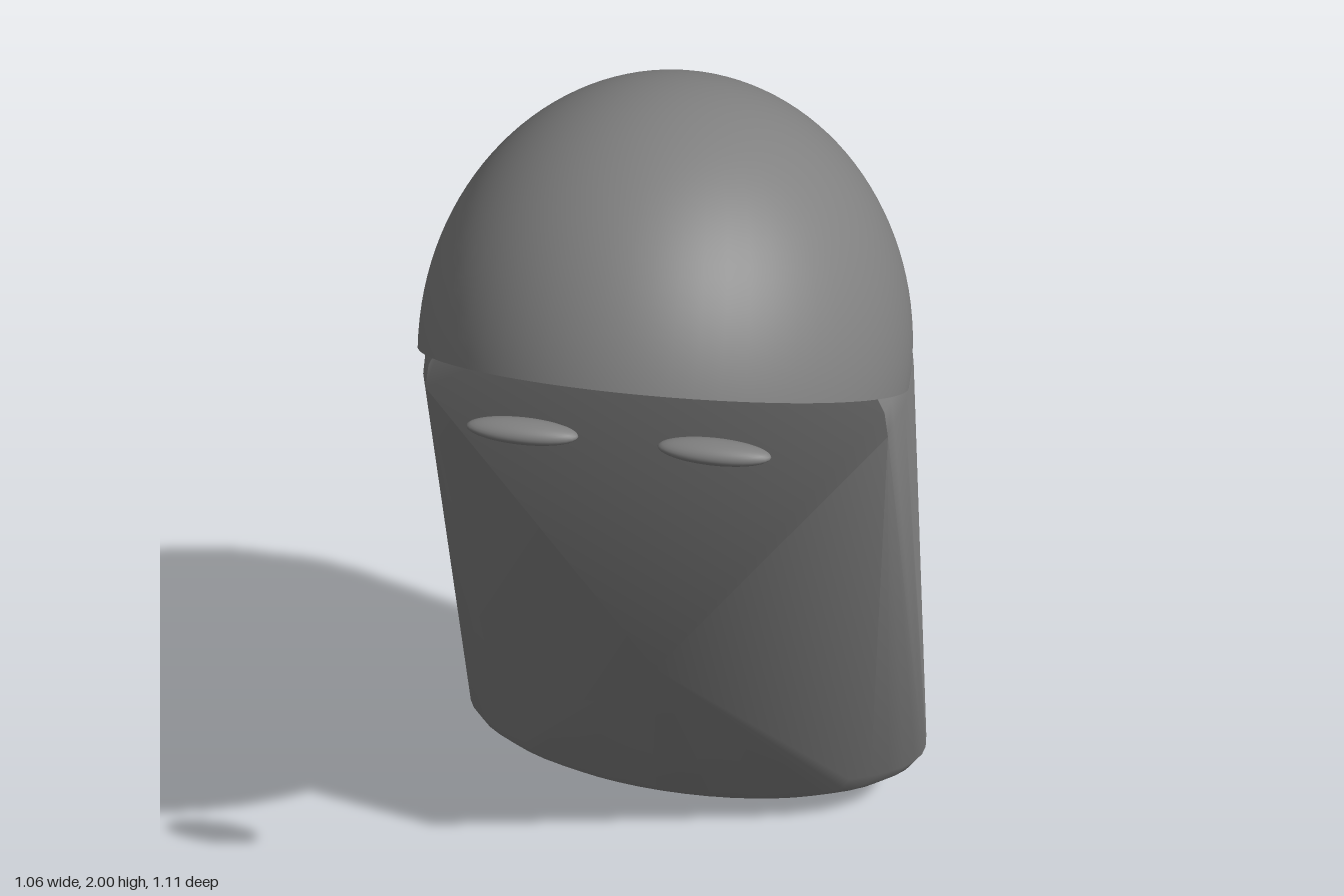
import * as THREE from 'three';
import { mergeVertices, toCreasedNormals } from 'three/addons/utils/BufferGeometryUtils.js';
import { ConvexGeometry } from 'three/addons/geometries/ConvexGeometry.js';

const grey = new THREE.MeshStandardMaterial({ color: 0x808080, side: THREE.DoubleSide });
grey.name = 'grey';

// Points on an ellipsoid, between two latitudes
function ellipsoidPoints(centre, radii, from, to, rings, segments) {
  const points = [];
  for (let i = 0; i <= rings; i++) {
    const lat = from + (to - from) * i / rings;
    for (let j = 0; j < segments; j++) {
      const a = j / segments * Math.PI * 2;
      points.push(new THREE.Vector3(Math.cos(lat) * Math.cos(a), Math.sin(lat), Math.cos(lat) * Math.sin(a))
        .multiply(radii).add(centre));
    }
  }
  return points;
}

// Body: a skin stretched from a flat rounded foot to a wide shoulder dome with a flat front
function bodyGeometry() {
  const front = 0.16;
  const foot = ellipsoidPoints(new THREE.Vector3(0, 0.17, -0.35), new THREE.Vector3(0.535, 0.17, 0.205),
    -1.5, 0.5, 10, 48);
  const shoulders = ellipsoidPoints(new THREE.Vector3(0, 1.4, 0), new THREE.Vector3(0.49, 0.3, 0.545),
    0, 1.5, 9, 48).filter(p => p.z < front - 0.01);
  const chest = [new THREE.Vector3(0, 0.72, front)];
  for (let i = 0; i <= 16; i++) {
    const a = i / 16 * Math.PI;
    chest.push(new THREE.Vector3(0.465 * Math.cos(a), 1.38 + 0.29 * Math.sin(a), front));
  }
  const hull = new ConvexGeometry([...foot, ...shoulders, ...chest]);
  hull.deleteAttribute('normal');
  return toCreasedNormals(mergeVertices(hull, 1e-4), 0.7);
}

export function createModel() {
  const group = new THREE.Group();
  const add = (name, geometry) => {
    const mesh = new THREE.Mesh(geometry, grey);
    mesh.name = name;
    group.add(mesh);
    return mesh;
  };

  add('body', bodyGeometry());

  // Open dome, tilted back so that its rim rises at the front
  const dome = new THREE.SphereGeometry(1, 64, 32, 0, Math.PI * 2, 0, Math.PI / 2 + 0.064);
  dome.rotateX(-0.504);
  dome.scale(0.49, 0.55, 0.55);
  add('headDome', dome).position.set(0, 1.45, 0.035);

  // Flat eyes floating below the rim
  for (const side of [1, -1]) {
    const eye = new THREE.SphereGeometry(1, 32, 16);
    eye.scale(0.107, 0.022, 0.032);
    add(side > 0 ? 'leftEye' : 'rightEye', eye).position.set(side * 0.182, 1.57, 0.527);
  }
  return group;
}
